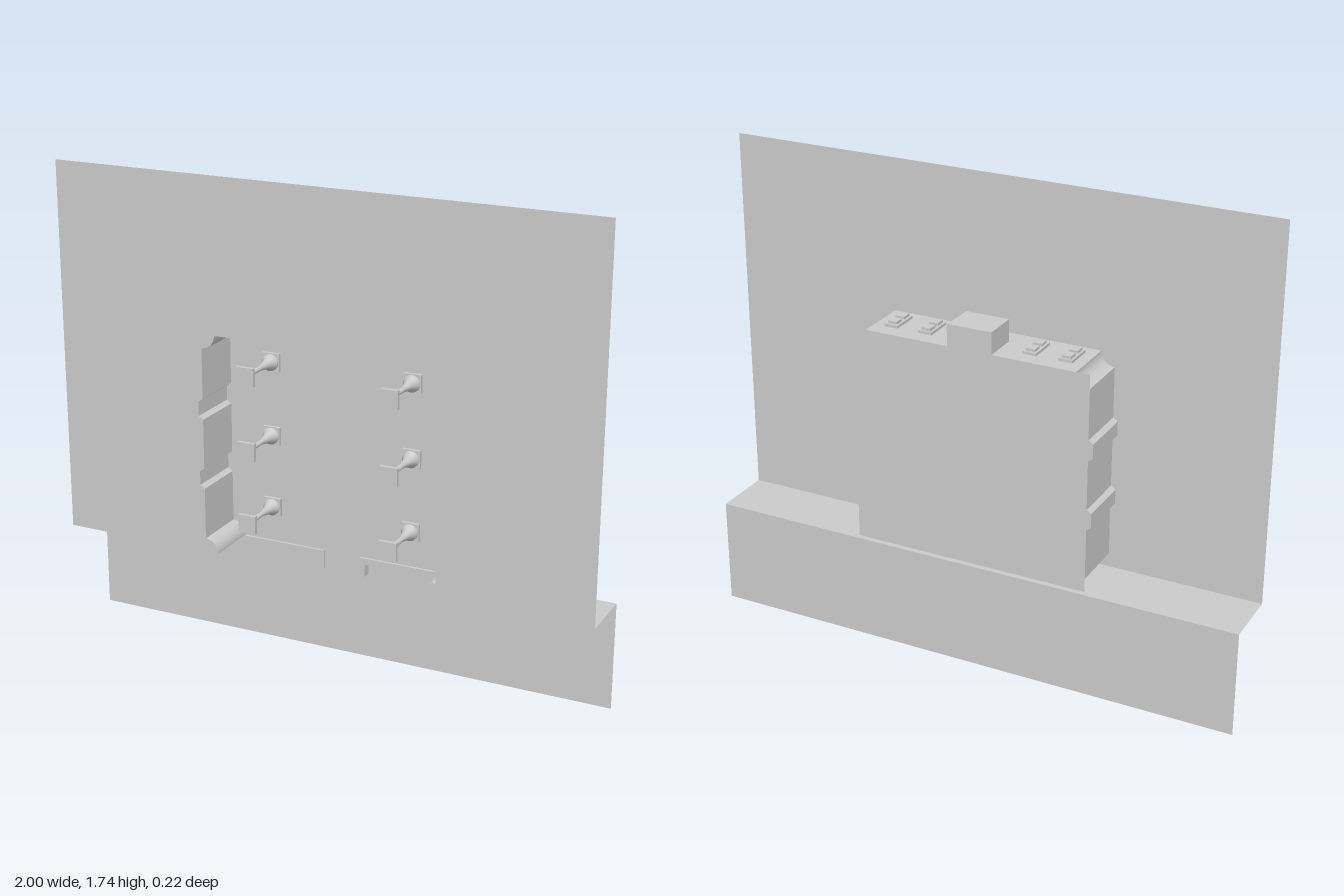
import * as THREE from 'three';

const FRONT = 0.11, BACK = -0.11, PAN = -0.09; // key depths
const LOW = 0.39, HIGH = 1.19, TOP = 1.74;     // key heights

export function createModel() {
  const model = new THREE.Group();
  const grey = new THREE.MeshStandardMaterial({ color: 0xcacaca, side: THREE.DoubleSide });
  grey.name = 'plain grey';

  const add = (name, geometry, x = 0, y = 0, z = 0, parent = model) => {
    const mesh = new THREE.Mesh(geometry, grey);
    mesh.name = name;
    mesh.position.set(x, y, z);
    parent.add(mesh);
    return mesh;
  };
  const box = (name, x0, x1, y0, y1, z0, z1, parent) =>
    add(name, new THREE.BoxGeometry(x1 - x0, y1 - y0, z1 - z0),
      (x0 + x1) / 2, (y0 + y1) / 2, (z0 + z1) / 2, parent);
  const toShape = (pts) => new THREE.Shape(pts.map(([x, y]) => new THREE.Vector2(x, y)));

  // Side ribs bulge outward at two heights
  const ribs = [];
  for (const y of [0.665, 0.92])
    ribs.push([0.44, y - 0.038], [0.457, y - 0.026], [0.457, y + 0.026], [0.44, y + 0.038]);

  // Half outline of the recess, with scooped corners
  const half = [];
  for (let i = 0; i <= 8; i++) {
    const a = Math.PI - (i / 8) * Math.PI / 2;
    half.push([0.44 + 0.05 * Math.cos(a), LOW + 0.05 * Math.sin(a)]);
  }
  half.push(...ribs);
  for (let i = 0; i <= 8; i++) {
    const a = -Math.PI / 2 - (i / 8) * Math.PI / 2;
    half.push([0.44 + 0.05 * Math.cos(a), HIGH + 0.05 * Math.sin(a)]);
  }
  const mirror = (pts) => pts.map(([x, y]) => [-x, y]).reverse();
  const outline = [...half, ...mirror(half)];

  // Front sheet, cut away from its lower edge around the recess
  add('frontSheet', new THREE.ShapeGeometry(toShape([
    [1, LOW], [1, TOP], [-1, TOP], [-1, LOW], ...[...outline].reverse(),
  ])), 0, 0, FRONT);

  // Recess walls: ribbon following the outline from front to back
  const verts = [];
  for (let i = 0; i < outline.length - 1; i++) {
    const [a, b] = [outline[i], outline[i + 1]];
    verts.push(...a, PAN, ...b, PAN, ...b, FRONT, ...a, PAN, ...b, FRONT, ...a, FRONT);
  }
  const walls = new THREE.BufferGeometry();
  walls.setAttribute('position', new THREE.Float32BufferAttribute(verts, 3));
  // outward winding
  walls.computeVertexNormals();
  add('recessWalls', walls);

  // Back panel with square corners, rib tabs and a top tab
  const side = [[0.44, LOW], ...ribs, [0.44, HIGH]];
  add('backPanel', new THREE.ShapeGeometry(toShape([
    ...side, [0.08, HIGH], [0.08, 1.27], [-0.08, 1.27], [-0.08, HIGH], ...mirror(side),
  ])), 0, 0, PAN);
  add('lowerTab', new THREE.PlaneGeometry(0.15, 0.07), 0, 0.355, PAN);

  // Shelf around the open bottom of the recess
  const shelf = (name, x0, x1, z0, z1) => {
    const g = new THREE.PlaneGeometry(x1 - x0, z1 - z0).rotateX(-Math.PI / 2);
    add(name, g, (x0 + x1) / 2, LOW, (z0 + z1) / 2);
  };
  shelf('shelfLeft', 0.39, 1, BACK, FRONT);
  shelf('shelfRight', -1, -0.39, BACK, FRONT);
  shelf('shelfBack', -0.39, 0.39, BACK, PAN);

  // Lower sheet, set back
  add('lowerSheet', new THREE.PlaneGeometry(2, LOW), 0, LOW / 2, BACK);

  // Bent lip brackets at the foot of the back panel
  for (const s of [-1, 1]) {
    const pts = [[0.07, 0.32], [0.09, 0.32], [0.09, 0.366], [0.515, 0.366], [0.515, 0.39], [0.07, 0.39]];
    const shape = toShape(s > 0 ? pts : mirror(pts));
    add('lipBracket', new THREE.ExtrudeGeometry(shape, { depth: 0.03, bevelEnabled: false }), 0, 0, -0.11);
  }

  // Hump on the top wall, with small hooks beneath
  box('topHump', -0.085, 0.075, HIGH, 1.27, PAN, 0.04);
  for (const x of [-0.085, 0.08])
    for (const z of [-0.075, 0.04]) box('humpHook', x - 0.02, x + 0.02, 1.17, 1.185, z - 0.005, z + 0.005);

  // Clips on the top wall, each with two pads
  for (const x of [-0.325, -0.195, 0.195, 0.325]) {
    const clip = new THREE.Group();
    clip.name = 'topClip';
    box('clipBase', x - 0.025, x + 0.025, HIGH, 1.2, -0.033, 0.072, clip);
    for (const z of [-0.007, 0.046]) box('clipPad', x - 0.017, x + 0.017, 1.2, 1.21, z - 0.018, z + 0.018, clip);
    model.add(clip);
  }

  // Standoff pins: flared stem between two square plates
  const profile = [[0.03, 0], [0.03, 0.008], [0.021, 0.02], [0.014, 0.045], [0.009, 0.075], [0.009, 0.18]]
    .map(([r, h]) => new THREE.Vector2(r, h));
  const stem = new THREE.LatheGeometry(profile, 20).rotateX(Math.PI / 2);
  for (const x of [-0.275, 0.262])
    for (const y of [0.522, 0.79, 1.06]) {
      const pin = new THREE.Group();
      pin.name = 'standoffPin';
      const h = 0.033;
      box('pinBase', x - h, x + h, y - h, y + h, PAN, PAN + 0.012, pin);
      add('pinStem', stem, x, y, PAN + 0.012, pin);
      box('pinPlate', x - h, x + h, y - h, y + h, FRONT - 0.014, FRONT, pin);
      model.add(pin);
    }

  return model;
}
